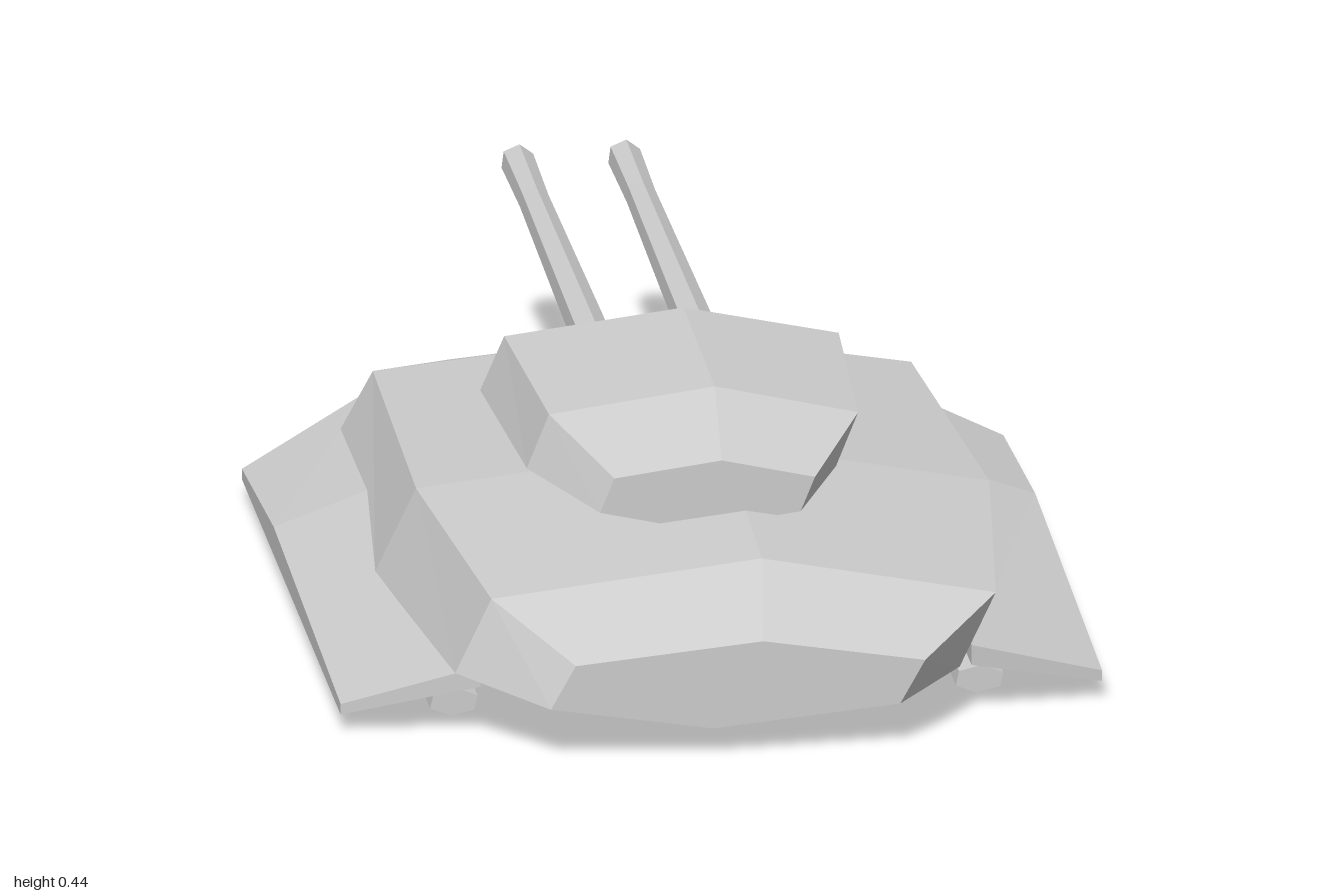
import * as THREE from 'three';

const SIDES = 6, TWIST = 0.4;

// Closed faceted solid through rings of [x, y, z] points, listed front to back,
// each ring running counter-clockwise as seen from the front.
function loft(rings) {
  const n = rings[0].length, pos = [];
  const tri = (a, b, c) => pos.push(...a, ...b, ...c);
  for (let s = 0; s < rings.length - 1; s++) {
    for (let k = 0; k < n; k++) {
      const j = (k + 1) % n;
      const a = rings[s][k], b = rings[s][j], c = rings[s + 1][j], d = rings[s + 1][k];
      tri(a, d, b);
      tri(b, d, c);
    }
  }
  const front = rings[0], back = rings[rings.length - 1];
  for (let k = 1; k < n - 1; k++) {
    tri(front[0], front[k], front[k + 1]);
    tri(back[0], back[k + 1], back[k]);
  }
  const geo = new THREE.BufferGeometry();
  geo.setAttribute('position', new THREE.Float32BufferAttribute(pos, 3));
  geo.computeVertexNormals();
  return geo;
}

// Slightly twisted hexagonal ring
function hexRing(cx, cy, z, rx, ry) {
  return Array.from({ length: SIDES }, (_, k) => {
    const a = TWIST + (k / SIDES) * Math.PI * 2;
    return [cx + rx * Math.cos(a), cy + ry * Math.sin(a), z];
  });
}

export function createModel() {
  const model = new THREE.Group();
  model.name = 'tank';
  const grey = new THREE.MeshStandardMaterial({ color: 0xcccccc, flatShading: true });
  grey.name = 'plain grey';

  const add = (name, rings) => {
    const mesh = new THREE.Mesh(loft(rings), grey);
    mesh.name = name;
    model.add(mesh);
  };

  // Hull: z, half width, half height, centre height
  add('hull', [
    [1.0, 0.331, 0.073, 0.122],
    [0.85, 0.478, 0.125, 0.16],
    [0.33, 0.543, 0.14, 0.165],
    [-0.38, 0.51, 0.116, 0.137],
    [-0.67, 0.304, 0.062, 0.083],
  ].map(([z, rx, ry, cy]) => hexRing(0, cy, z, rx, ry)));

  // Turret
  add('turret', [
    [0.635, 0.19, 0.058, 0.322],
    [0.455, 0.293, 0.091, 0.354],
    [0.06, 0.317, 0.091, 0.354],
    [-0.19, 0.152, 0.045, 0.305],
  ].map(([z, rx, ry, cy]) => hexRing(0, cy, z, rx, ry)));

  // Skirt sections: inner z, outer z, inner top, outer top
  const skirt = [
    [0.855, 0.8, 0.122, 0.05],
    [0, 0, 0.16, 0.08],
    [-0.52, -0.38, 0.122, 0.05],
  ].map(([zi, zo, yi, yo]) => [
    [0.62, 0.032, zo], [0.62, yo, zo], [0.4, yi, zi], [0.4, 0.088, zi],
  ]);

  for (const side of [1, -1]) {
    const label = side > 0 ? 'left' : 'right';

    // Twin gun barrels, narrowing and then flaring at the muzzle
    add(label + 'Barrel', [
      [0, 0.032], [-0.2, 0.031], [-0.8, 0.025], [-1, 0.028],
    ].map(([z, r]) => hexRing(side * 0.087, 0.34, z, r, r)));

    // Track rails
    add(label + 'Track', [0.745, -0.335].map((z) => hexRing(side * 0.428, 0.026, z, 0.042, 0.024)));

    // Side skirts
    add(label + 'Skirt', side > 0 ? skirt
      : skirt.map((ring) => ring.map(([x, y, z]) => [-x, y, z]).reverse()));
  }
  return model;
}
